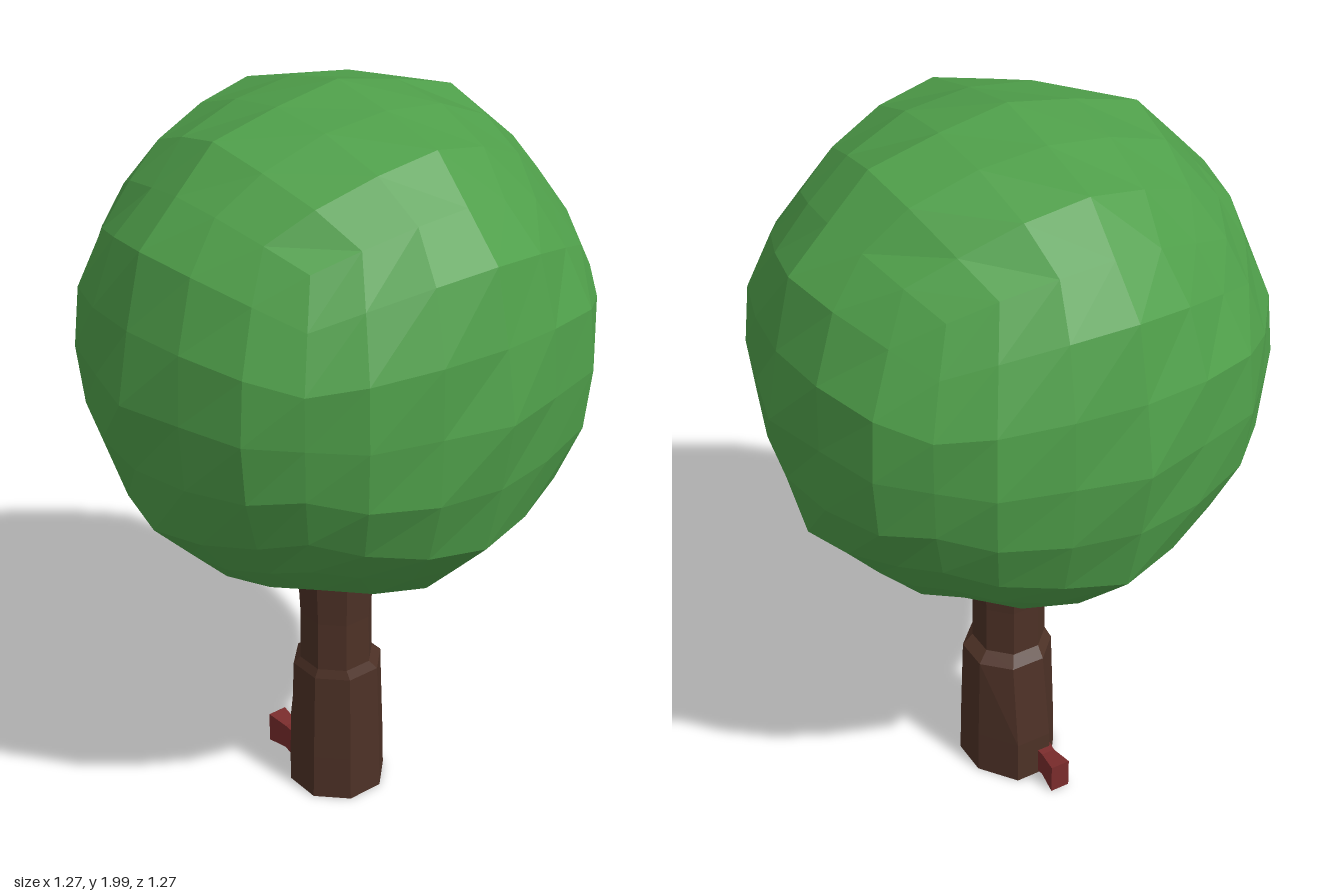
import * as THREE from 'three';

const material = (color) =>
  new THREE.MeshStandardMaterial({ color, flatShading: true, side: THREE.DoubleSide });

// Repeatable value from -1 to 1 for a direction, so shared corners move together
function jitter(v) {
  const k = Math.round(v.x * 300) * 12.9898 + Math.round(v.y * 300) * 78.233 + Math.round(v.z * 300) * 37.719;
  const s = Math.sin(k) * 43758.5453;
  return 2 * (s - Math.floor(s)) - 1;
}

// Moves each vertex of a geometry by a rule
function reshape(geometry, rule) {
  const p = geometry.attributes.position;
  const v = new THREE.Vector3();
  for (let i = 0; i < p.count; i++) {
    rule(v.fromBufferAttribute(p, i));
    p.setXYZ(i, v.x, v.y, v.z);
  }
  geometry.computeVertexNormals();
  return geometry;
}

// Radii from an axis to the diagonal, along the upright and the level outlines
const GRID = [0, 0.29, 0.63, 1];
const UPRIGHT = [0.637, 0.63, 0.663, 0.647];
const LEVEL = [0.637, 0.616, 0.642, 0.628];

// Faceted ball on a cube grid, with ridges on its outlines and uneven facets
function createCrown() {
  const snap = (c) => Math.sign(c) * GRID[Math.round(Math.abs(c) * 3)];
  const geometry = reshape(new THREE.BoxGeometry(2, 2, 2, 6, 6, 6), (v) => {
    v.set(snap(v.x), snap(v.y), snap(v.z));
    const [low, mid] = [v.x, v.y, v.z].map(Math.abs).sort((a, b) => a - b);
    const outline = v.y === 0 ? LEVEL : UPRIGHT;
    const ridge = outline[GRID.indexOf(mid)];
    v.normalize();
    const inner = 0.63 + 0.01 * jitter(v);
    v.multiplyScalar(THREE.MathUtils.lerp(ridge, inner, Math.min(1, low / 0.5)));
    v.y = v.y * 1.01 + 1.352;
  });
  const crown = new THREE.Mesh(geometry, material(0x4f9f4a));
  crown.name = 'crown';
  return crown;
}

// Eight-sided trunk, open below, with a shoulder and a flared foot on one side
function createTrunk() {
  const profile = [
    [0.134, 0.01], [0.131, 0.14], [0.122, 0.395], [0.1, 0.42], [0.098, 0.56], [0.107, 0.74],
  ].map(([r, y]) => new THREE.Vector2(r, y));
  const geometry = reshape(new THREE.LatheGeometry(profile, 8, Math.PI / 8), (v) => {
    if (v.y < 0.2 && v.x < -0.1) v.x -= 0.025;
    if (v.y > 0.41) {
      v.x += 0.008;
      v.z += 0.01;
    }
  });
  const trunk = new THREE.Mesh(geometry, material(0x4d3126));
  trunk.name = 'trunk';
  return trunk;
}

// Short stub of root, pinched in the middle
function createRoot() {
  const geometry = reshape(new THREE.BoxGeometry(0.13, 0.088, 0.055, 2, 1, 1), (v) => {
    if (Math.abs(v.x) < 0.01) {
      v.z *= 0.7;
      v.y *= 0.85;
    }
    v.add(new THREE.Vector3(-0.165, 0.054, 0.036));
  });
  const root = new THREE.Mesh(geometry, material(0x7a2c2c));
  root.name = 'rootStub';
  return root;
}

export function createModel() {
  const tree = new THREE.Group();
  tree.name = 'tree';
  tree.add(createCrown(), createTrunk(), createRoot());
  return tree;
}
